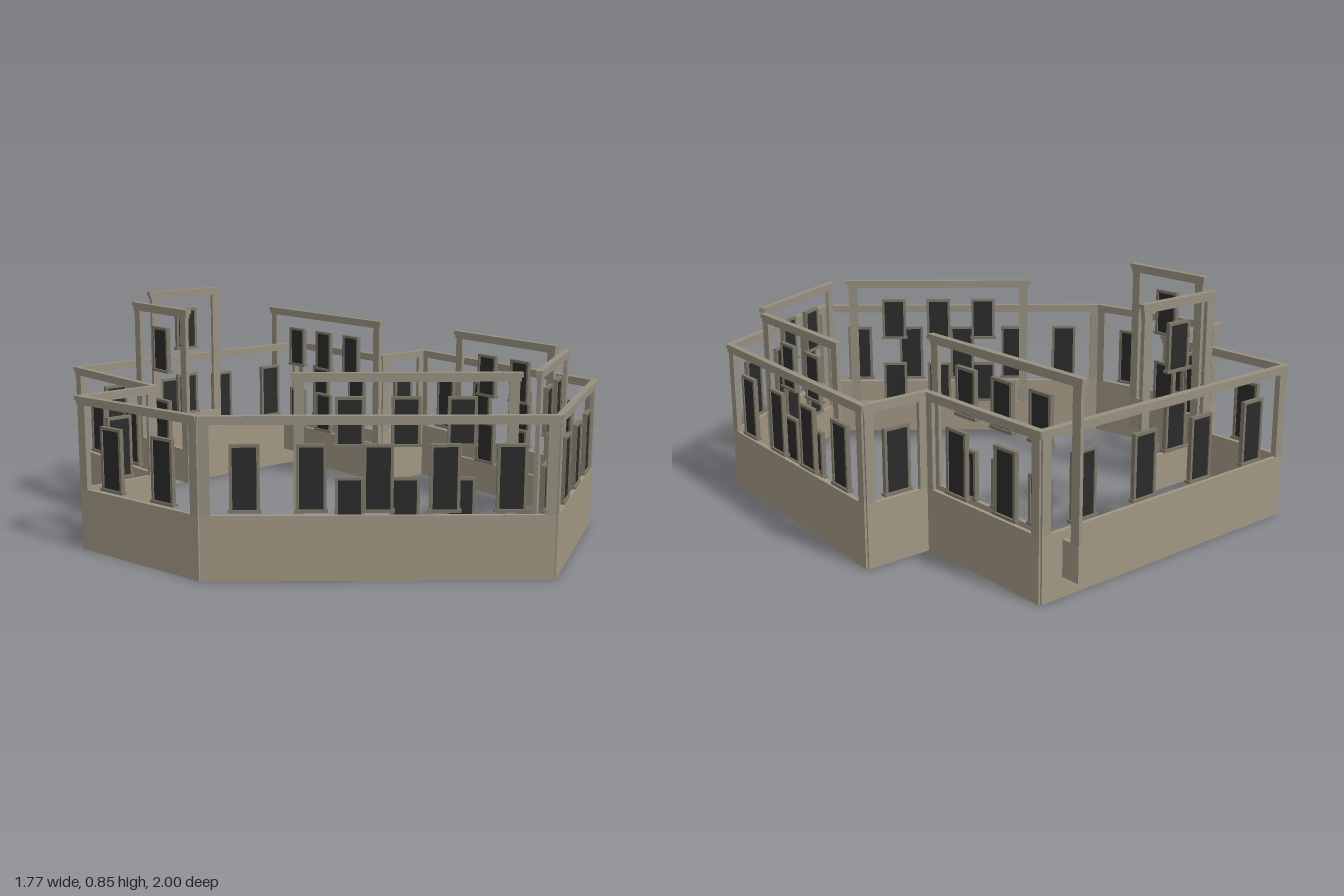
import * as THREE from 'three';

const wallMat = new THREE.MeshStandardMaterial({ color: 0xa09582 });
wallMat.name = 'stone wall';
const trimMat = new THREE.MeshStandardMaterial({ color: 0x969080 });
trimMat.name = 'stone trim';
const frameMat = new THREE.MeshStandardMaterial({ color: 0x7c7668 });
frameMat.name = 'window frame';
const paneMat = new THREE.MeshStandardMaterial({ color: 0x2a2a2a });
paneMat.name = 'dark glass';

function box(parent, name, mat, w, h, d, x, y, z = 0) {
  const m = new THREE.Mesh(new THREE.BoxGeometry(w, h, d), mat);
  m.name = name;
  m.position.set(x, y, z);
  parent.add(m);
}

// Framed window, w by h outside, standing on y
function addWindow(parent, x, y, w, h) {
  const g = new THREE.Group();
  g.name = 'window';
  g.position.set(x, y, 0);
  const t = 0.01, d = 0.016;
  box(g, 'pane', paneMat, w - 2 * t, h - 2 * t, 0.008, 0, h / 2);
  for (const s of [-1, 1]) box(g, 'jamb', frameMat, t, h, d, s * (w - t) / 2, h / 2);
  box(g, 'lintel', frameMat, w - 2 * t, t, d, 0, h - t / 2);
  box(g, 'sill', frameMat, w + 0.01, t, d + 0.006, 0, t / 2);
  parent.add(g);
}

// Open wall frame between two plan points: base, end posts and stepped cornice
function addFrame(parent, name, [x1, z1], [x2, z2], bottom, baseTop, top) {
  const g = new THREE.Group();
  g.name = name;
  const L = Math.hypot(x2 - x1, z2 - z1);
  g.position.set((x1 + x2) / 2, 0, (z1 + z2) / 2);
  g.rotation.y = -Math.atan2(z2 - z1, x2 - x1);
  const post = 0.035;
  box(g, 'base', wallMat, L, baseTop - bottom, 0.014, 0, (bottom + baseTop) / 2);
  for (const s of [-1, 1]) {
    box(g, 'post', trimMat, post, top - 0.03 - baseTop, 0.014, s * (L - post) / 2, (top - 0.03 + baseTop) / 2);
  }
  box(g, 'lowerCornice', trimMat, L + 0.01, 0.015, 0.018, 0, top - 0.0225);
  box(g, 'upperCornice', trimMat, L + 0.02, 0.015, 0.024, 0, top - 0.0075);
  parent.add(g);
  return { g, L };
}

export function createModel() {
  const model = new THREE.Group();
  model.name = 'buildingShell';

  // Outer ground-floor walls, one loop
  const plan = [
    [-0.625, -0.812], [0.515, -0.922], [0.58, -0.373], [0.825, -0.395], [0.87, 0.572],
    [0.28, 0.98], [-0.70, 0.332], [-0.875, -0.215], [-0.562, -0.248],
  ];
  plan.forEach((p, i) => {
    const { g, L } = addFrame(model, 'outerWall', p, plan[(i + 1) % plan.length], 0, 0.225, 0.56);
    const n = Math.max(1, Math.floor(L / 0.234));
    const bay = (L - 0.08) / n;
    for (let k = 0; k < n; k++) addWindow(g, (k - (n - 1) / 2) * bay, 0.235, 0.1, 0.23);
  });

  // Set-back panels with two rows of windows: start, end, bottom, columns
  const panels = [
    [[-0.39, 0.425], [0.232, 0.84], 0.035, 3],
    [[0.31, 0.849], [0.737, 0.556], 0.035, 2],
    [[0.746, -0.077], [0.773, 0.46], 0.035, 2],
    [[0.416, -0.99], [0.498, -0.28], 0.07, 3],
    [[-0.32, -0.75], [0.012, -0.78], 0.2, 1],
    [[-0.5, -0.515], [-0.462, -0.175], 0.19, 1],
  ];
  for (const [a, b, y, n] of panels) {
    const { g, L } = addFrame(model, 'innerPanel', a, b, y, y + 0.125, y + 0.65);
    for (let k = 1; k <= n; k++) {
      const x = (k / (n + 1) - 0.5) * L;
      for (const row of [0.125, 0.4]) addWindow(g, x, y + row, 0.098, 0.17);
    }
  }
  return model;
}
